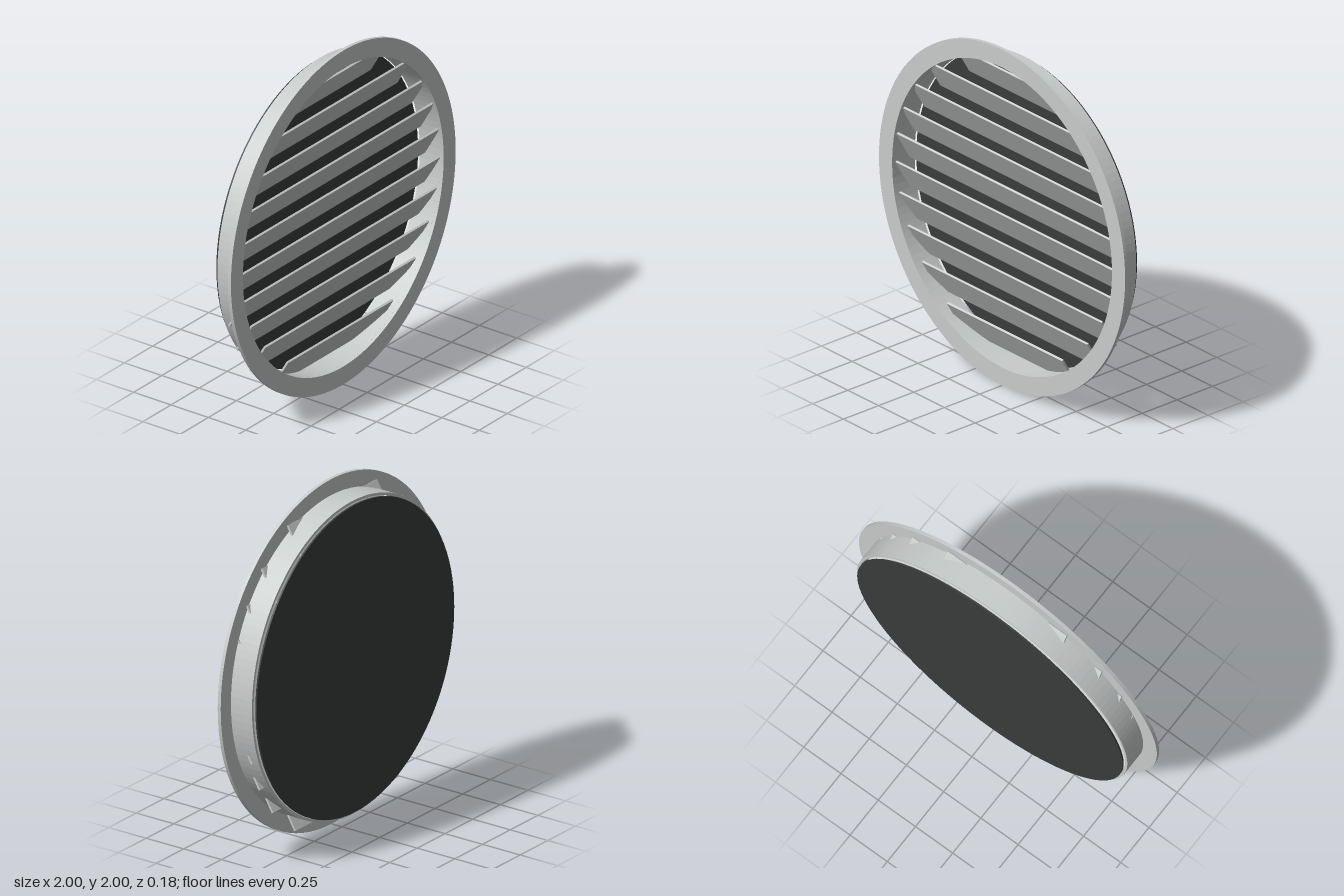
import * as THREE from 'three';

const CENTER_Y = 1;

// Flat-faced ring, extruded from z0 to z1
function ring(name, outer, inner, z0, z1, segments, material) {
  const shape = new THREE.Shape().absarc(0, 0, outer, 0, Math.PI * 2, false);
  shape.holes.push(new THREE.Path().absarc(0, 0, inner, 0, Math.PI * 2, true));
  const geometry = new THREE.ExtrudeGeometry(shape, {
    depth: z1 - z0, bevelEnabled: false, curveSegments: segments,
  });
  const mesh = new THREE.Mesh(geometry, material);
  mesh.name = name;
  mesh.position.set(0, CENTER_Y, z0);
  return mesh;
}

export function createModel() {
  const metal = new THREE.MeshStandardMaterial({ color: 0xc8cccb });
  metal.name = 'light grey metal';
  const dark = new THREE.MeshStandardMaterial({ color: 0x3a3b3b });
  dark.name = 'dark backing';

  const vent = new THREE.Group();
  vent.name = 'roundVent';

  // Wide front flange and the duct sleeve behind it
  vent.add(ring('flange', 1, 0.893, 0.07, 0.09, 96, metal));
  vent.add(ring('sleeve', 0.908, 0.893, -0.07, 0.07, 64, metal));

  // Thin backing disc, just clear of the sleeve
  const disc = new THREE.Mesh(new THREE.CylinderGeometry(0.891, 0.891, 0.01, 96), dark);
  disc.name = 'backingDisc';
  disc.rotation.x = Math.PI / 2;
  disc.position.set(0, CENTER_Y, -0.085);
  vent.add(disc);

  // Tilted slats, cut to the chord of the opening, high edge at the front
  const slats = new THREE.Group();
  slats.name = 'slats';
  const count = 10, pitch = 0.1724;
  for (let i = 0; i < count; i++) {
    const y = (i - (count - 1) / 2) * pitch + 0.003;
    const halfWidth = Math.sqrt(0.89 ** 2 - (y + 0.016) ** 2);
    const slat = new THREE.Mesh(new THREE.BoxGeometry(halfWidth * 2, 0.012, 0.2), metal);
    slat.name = `slat${i + 1}`;
    slat.rotation.x = -Math.PI / 3;
    slat.position.set(0, CENTER_Y + y, 0.018);
    slats.add(slat);
  }
  vent.add(slats);

  return vent;
}
